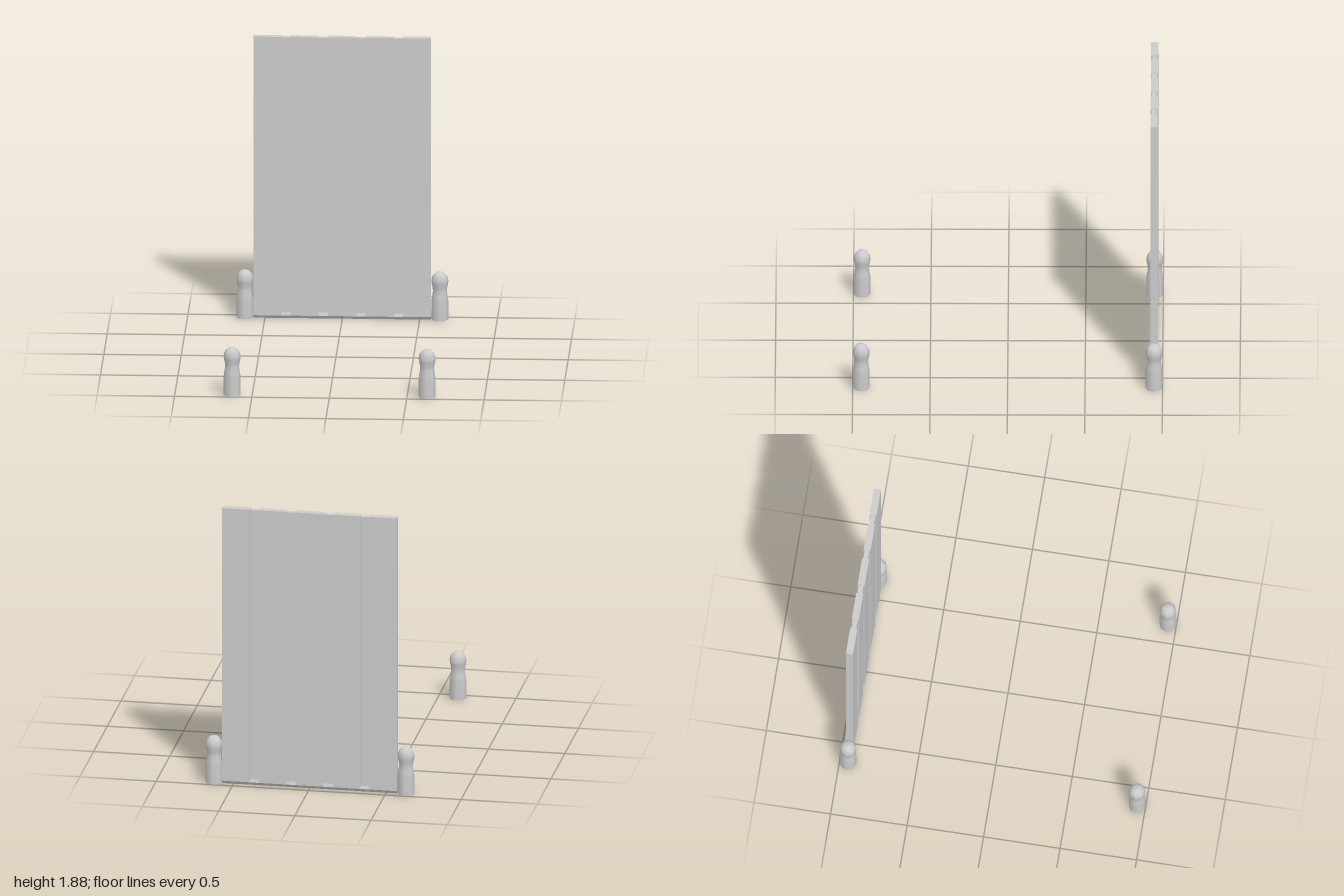
import * as THREE from 'three';

const material = new THREE.MeshStandardMaterial({ color: 0xcccccc });
const flatMaterial = new THREE.MeshStandardMaterial({ color: 0xcccccc, flatShading: true });

// Upright slab between x0 and x1; side = [half thickness, height] pairs, mirrored front to back
function slab(name, x0, x1, side) {
  const outline = [...side, ...side.map(([z, y]) => [-z, y]).reverse()];
  const shape = new THREE.Shape(outline.map(([z, y]) => new THREE.Vector2(z, y)));
  const geometry = new THREE.ExtrudeGeometry(shape, { depth: x1 - x0, bevelEnabled: false });
  geometry.rotateY(Math.PI / 2);
  const mesh = new THREE.Mesh(geometry, flatMaterial);
  mesh.name = name;
  mesh.position.x = x0;
  return mesh;
}

// Door panel: five boards with shallow grooves between, bottom edge chamfered
function createPanel() {
  const panel = new THREE.Group();
  panel.name = 'doorPanel';
  const boardSide = [[0.009, 0], [0.023, 0.02], [0.023, 1.885]];
  const grooveSide = [[0.009, 0], [0.023, 0.02], [0.015, 0.04], [0.015, 1.88]];
  const edges = [-0.573, -0.392, -0.333, -0.151, -0.091, 0.091, 0.151, 0.333, 0.392, 0.573];
  for (let i = 0; i < edges.length - 1; i++) {
    const isBoard = i % 2 === 0;
    panel.add(slab(isBoard ? 'board' : 'groove', edges[i], edges[i + 1], isBoard ? boardSide : grooveSide));
  }
  panel.position.z = -0.945;
  return panel;
}

// Short eight-sided post with a narrow neck and a domed head
function createPostGeometry() {
  const profile = [
    [0.055, 0], [0.055, 0.125], [0.050, 0.155], [0.045, 0.19], [0.047, 0.215],
    [0.053, 0.24], [0.055, 0.26], [0.051, 0.283], [0.041, 0.302], [0.024, 0.315], [0, 0.32],
  ].map(([r, y]) => new THREE.Vector2(r, y));
  return new THREE.LatheGeometry(profile, 8);
}

export function createModel() {
  const model = new THREE.Group();
  model.name = 'doorWithPosts';
  model.add(createPanel());

  const postGeometry = createPostGeometry();
  const baseGeometry = new THREE.CircleGeometry(0.055, 8).rotateX(Math.PI / 2);
  for (const z of [-0.945, 0.945]) {
    for (const x of [-0.63, 0.63]) {
      const post = new THREE.Group();
      post.name = (z < 0 ? 'back' : 'front') + (x < 0 ? 'Right' : 'Left') + 'Post';
      const body = new THREE.Mesh(postGeometry, material);
      body.name = 'postBody';
      const base = new THREE.Mesh(baseGeometry, material);
      base.name = 'postBase';
      post.add(body, base);
      post.position.set(x, 0, z);
      model.add(post);
    }
  }
  return model;
}
